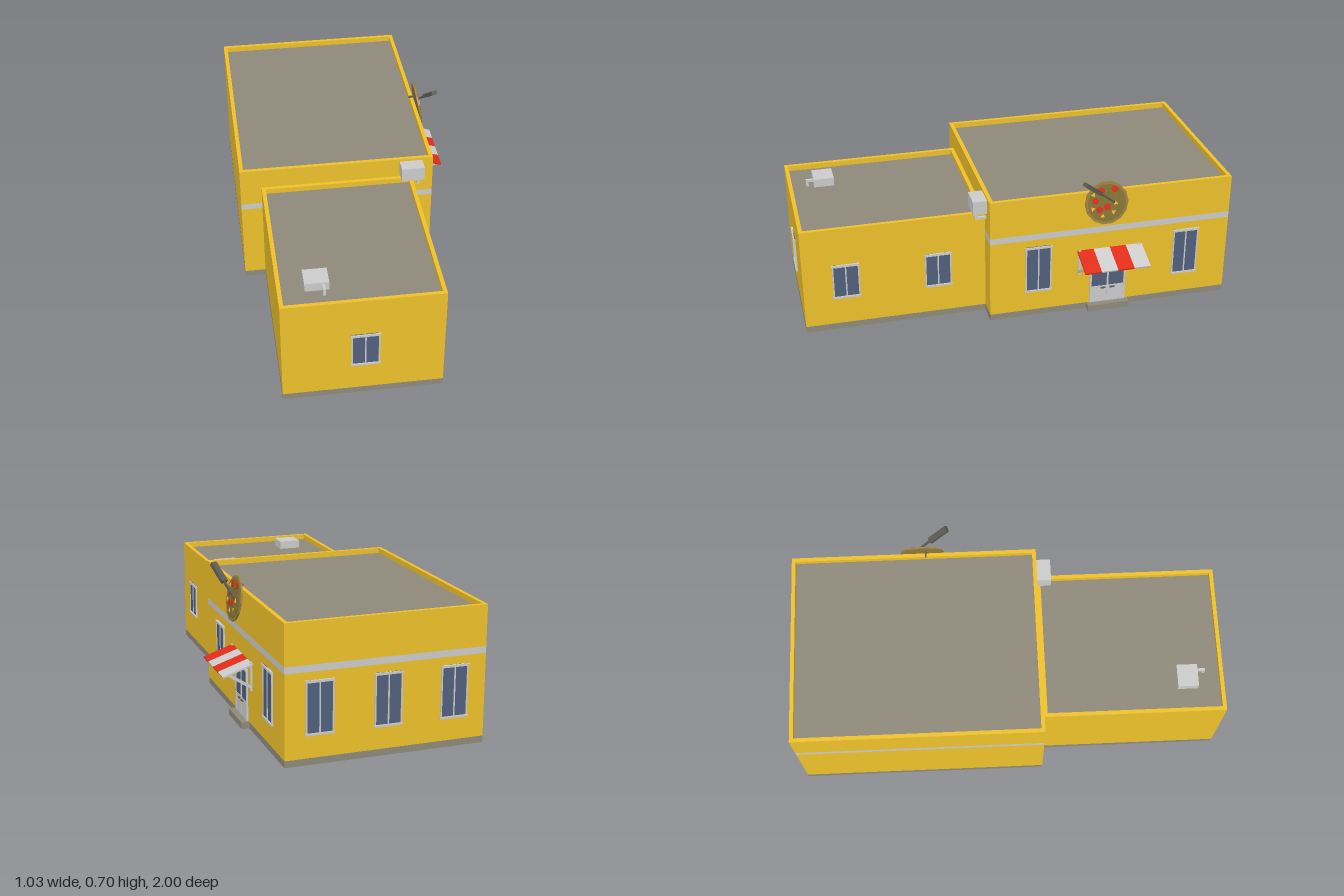
import * as THREE from 'three';

const mat = (color) => new THREE.MeshStandardMaterial({ color, flatShading: true });
const M = {
  grey: mat(0xcccccc), wall: mat(0xeec12a), stone: mat(0x8f897b), glass: mat(0x51607c),
  red: mat(0xe02c18), crust: mat(0x9a8040), cheese: mat(0x877033), green: mat(0x4f8a2c),
  yellow: mat(0xf0c030), dark: mat(0x5c5a52),
};

function add(parent, name, geometry, material, x = 0, y = 0, z = 0) {
  const mesh = new THREE.Mesh(geometry, material);
  mesh.name = name;
  mesh.position.set(x, y, z);
  parent.add(mesh);
  return mesh;
}

// Box given by its minimum and maximum corners
function box(parent, name, material, x0, x1, y0, y1, z0, z1) {
  return add(parent, name, new THREE.BoxGeometry(x1 - x0, y1 - y0, z1 - z0), material,
    (x0 + x1) / 2, (y0 + y1) / 2, (z0 + z1) / 2);
}

// Bar of rectangular section between two points
function bar(parent, name, material, a, b, w, d = w) {
  const p = new THREE.Vector3(...a), q = new THREE.Vector3(...b);
  const mesh = add(parent, name, new THREE.BoxGeometry(w, d, p.distanceTo(q)), material);
  mesh.position.copy(p).add(q).multiplyScalar(0.5);
  mesh.lookAt(q);
  return mesh;
}

// Hollow rectangular wall course
function course(parent, name, material, [x0, x1, z0, z1], y0, y1) {
  const t = 0.018, w = (x1 - x0) / 2, d = (z1 - z0) / 2;
  const rect = (C, a, b) => {
    const s = new C();
    s.moveTo(-a, -b); s.lineTo(a, -b); s.lineTo(a, b); s.lineTo(-a, b); s.closePath();
    return s;
  };
  const shape = rect(THREE.Shape, w, d);
  shape.holes.push(rect(THREE.Path, w - t, d - t));
  const g = new THREE.ExtrudeGeometry(shape, { depth: y1 - y0, bevelEnabled: false });
  g.rotateX(-Math.PI / 2);
  add(parent, name, g, material, (x0 + x1) / 2, y0, (z0 + z1) / 2);
}

// Plinth, wall courses and sunken flat roof
function block(parent, name, rect, top, band) {
  const g = new THREE.Group();
  g.name = name;
  parent.add(g);
  const [x0, x1, z0, z1] = rect;
  box(g, 'plinth', M.stone, x0, x1, 0, 0.03, z0, z1);
  if (band) {
    course(g, 'lowerWall', M.wall, rect, 0.03, 0.4);
    course(g, 'wallBand', M.grey, rect, 0.4, 0.43);
    course(g, 'upperWall', M.wall, rect, 0.43, top);
  } else course(g, 'wall', M.wall, rect, 0.03, top);
  box(g, 'roof', M.stone, x0 + 0.017, x1 - 0.017, top - 0.05, top - 0.025, z0 + 0.017, z1 - 0.017);
}

// Two-pane window facing +z, turned by angle and set on a wall
function windowUnit(parent, x, z, y0, y1, angle) {
  const g = new THREE.Group(), w = 0.064;
  g.name = 'window';
  g.position.set(x, 0, z);
  g.rotation.y = angle;
  parent.add(g);
  box(g, 'glass', M.glass, -w + 0.004, w - 0.004, y0, y1, -0.004, 0.004);
  for (const s of [-1, 1]) box(g, 'jamb', M.grey, s * 0.058 - 0.003, s * 0.058 + 0.003, y0, y1, -0.004, 0.007);
  box(g, 'mullion', M.grey, -0.003, 0.003, y0, y1, -0.004, 0.007);
  box(g, 'lintel', M.grey, -w, w, y1 - 0.01, y1, -0.004, 0.01);
  box(g, 'sill', M.grey, -w, w, y0, y0 + 0.009, -0.004, 0.01);
}

function addDoor(parent) {
  const g = new THREE.Group();
  g.name = 'door';
  parent.add(g);
  const x = 0.378;
  box(g, 'doorStep', M.stone, x - 0.01, 0.413, 0, 0.03, -0.51, -0.31);
  box(g, 'doorGlass', M.glass, x - 0.004, x + 0.004, 0.11, 0.26, -0.49, -0.33);
  box(g, 'doorPanel', M.grey, x - 0.004, x + 0.006, 0.03, 0.115, -0.49, -0.33);
  for (const z of [-0.492, -0.41, -0.328])
    box(g, 'doorFrame', M.grey, x - 0.004, x + 0.008, 0.03, 0.265, z - 0.004, z + 0.004);
  box(g, 'doorLintel', M.grey, x - 0.004, x + 0.01, 0.255, 0.267, -0.496, -0.324);
  for (const z of [-0.432, -0.388])
    box(g, 'doorHandle', M.dark, x, x + 0.012, 0.102, 0.108, z - 0.012, z + 0.012);
}

function addAwning(parent) {
  const g = new THREE.Group();
  g.name = 'awning';
  parent.add(g);
  const step = 0.0775;
  for (let i = 0; i < 4; i++) {
    const z = -0.57 + step * (i + 0.5);
    bar(g, 'awningStripe', i % 2 ? M.red : M.grey, [0.376, 0.313, z], [0.512, 0.267, z], step, 0.008);
  }
  for (const z of [-0.555, -0.27]) {
    bar(g, 'awningStrut', M.grey, [0.38, 0.205, z], [0.485, 0.273, z], 0.012);
    box(g, 'strutPlate', M.grey, 0.377, 0.386, 0.19, 0.32, z - 0.006, z + 0.006);
  }
}

// Round food sign tilted up, with toppings and a cutter standing in it
function addSign(parent) {
  const g = new THREE.Group();
  g.name = 'pizzaSign';
  g.position.set(0.402, 0.563, -0.383);
  g.rotation.set(0, 0, -Math.PI / 2 + 0.17);
  parent.add(g);
  add(g, 'pizzaBase', new THREE.CylinderGeometry(0.102, 0.102, 0.008, 14), M.crust);
  add(g, 'pizzaTop', new THREE.CylinderGeometry(0.09, 0.09, 0.003, 14), M.cheese, 0, 0.005, 0);
  const kinds = [M.red, M.green, M.yellow];
  for (let i = 0; i < 15; i++) {
    const a = i * 2.4, r = 0.018 + 0.062 * Math.sqrt(i / 15), m = kinds[i % 3];
    const size = m === M.red ? 0.017 : 0.012;
    const t = add(g, 'topping', new THREE.CylinderGeometry(size, size, 0.004, m === M.red ? 5 : 3), m,
      r * Math.cos(a), 0.007, r * Math.sin(a));
    t.rotation.y = a;
    if (m === M.green) t.scale.z = 0.5;
  }
  bar(parent, 'cutterShaft', M.dark, [0.404, 0.558, -0.425], [0.437, 0.635, -0.335], 0.009);
  bar(parent, 'cutterHandle', M.dark, [0.434, 0.63, -0.342], [0.461, 0.697, -0.26], 0.028, 0.018);
  box(parent, 'signBracket', M.dark, 0.356, 0.39, 0.613, 0.62, -0.368, -0.36);
  box(parent, 'signBracketDrop', M.dark, 0.384, 0.39, 0.585, 0.62, -0.368, -0.36);
}

export function createModel() {
  const model = new THREE.Group();
  model.name = 'restaurant';

  block(model, 'mainHall', [-0.515, 0.378, -0.992, 0.152], 0.612, true);
  block(model, 'annex', [-0.418, 0.28, 0.152, 0.99], 0.518, false);

  // Windows on the side, back and front walls
  for (const z of [-0.075, -0.785]) windowUnit(model, 0.378, z, 0.13, 0.365, Math.PI / 2);
  for (const z of [0.373, 0.795]) windowUnit(model, 0.28, z, 0.165, 0.336, Math.PI / 2);
  for (const x of [-0.372, -0.074, 0.227]) windowUnit(model, x, -0.992, 0.13, 0.365, Math.PI);
  windowUnit(model, -0.061, 0.99, 0.165, 0.336, 0);

  addDoor(model);
  addAwning(model);
  addSign(model);

  // Wall-mounted air unit with its pipe
  box(model, 'airUnit', M.grey, 0.222, 0.328, 0.535, 0.6, 0.152, 0.217);
  box(model, 'airUnitPipe', M.grey, 0.297, 0.308, 0.5, 0.535, 0.192, 0.203);
  box(model, 'airUnitElbow', M.grey, 0.297, 0.308, 0.5, 0.511, 0.152, 0.203);

  // Roof vent with its outlet
  box(model, 'roofVent', M.grey, -0.302, -0.197, 0.49, 0.533, 0.775, 0.87);
  box(model, 'roofVentOutlet', M.grey, -0.228, -0.216, 0.514, 0.526, 0.87, 0.905);
  box(model, 'roofVentDrop', M.grey, -0.228, -0.216, 0.49, 0.526, 0.893, 0.905);
  return model;
}
